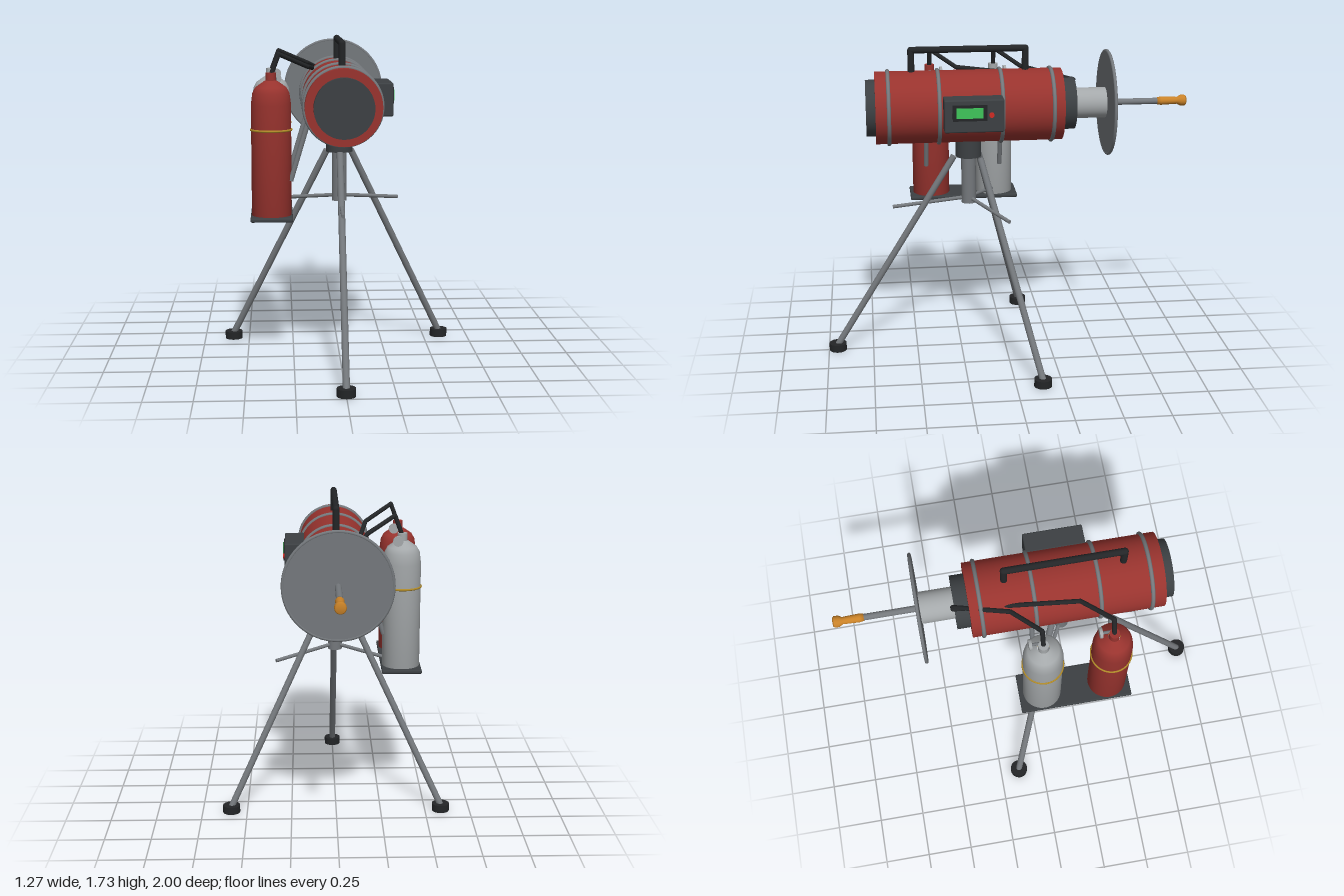
import * as THREE from 'three';
import { RoundedBoxGeometry } from 'three/addons/geometries/RoundedBoxGeometry.js';

const V = (x, y, z) => new THREE.Vector3(x, y, z);
const mat = (color) => new THREE.MeshStandardMaterial({ color });

export function createModel() {
  const root = new THREE.Group();
  const red = mat(0x98332e), dark = mat(0x3c4043), black = mat(0x232527);
  const steel = mat(0x74787c), pale = mat(0xa4a8aa), orange = mat(0xc98228);
  const gold = mat(0xb08a28), green = mat(0x3fc45a), button = mat(0xd02a24);

  const add = (name, geo, material, pos = [0, 0, 0], parent = root) => {
    const m = new THREE.Mesh(geo, material);
    m.name = name;
    m.position.set(...pos);
    parent.add(m);
    return m;
  };
  // Cylinder lying along z, on the barrel axis
  const barrelPart = (name, z0, z1, r, material, rBack = r) => {
    const g = new THREE.CylinderGeometry(r, rBack, z1 - z0, 48).rotateX(Math.PI / 2);
    return add(name, g, material, [0, 1.4, (z0 + z1) / 2]);
  };
  // Cylinder between two points
  const rod = (name, a, b, r, material, parent = root) => {
    const m = add(name, new THREE.CylinderGeometry(r, r, a.distanceTo(b), 16), material, [0, 0, 0], parent);
    m.position.copy(a).lerp(b, 0.5);
    m.quaternion.setFromUnitVectors(V(0, 1, 0), b.clone().sub(a).normalize());
    return m;
  };
  // Bent pipe: straight runs with ball joints
  const pipe = (name, points, r, material) => {
    const g = new THREE.Group();
    g.name = name;
    points.forEach((p, i) => {
      add('pipeJoint', new THREE.SphereGeometry(r, 14, 10), material, p.toArray(), g);
      if (i) rod('pipeRun', points[i - 1], p, r, material, g);
    });
    root.add(g);
  };

  // Barrel
  barrelPart('barrel', -0.305, 0.7, 0.195, red);
  barrelPart('frontCap', 0.69, 0.75, 0.152, dark);
  barrelPart('rearCollar', -0.377, -0.3, 0.14, dark);
  barrelPart('rearSleeve', -0.55, -0.37, 0.083, pale);
  for (const z of [0.63, 0.363, 0.027, -0.247])
    add('barrelBand', new THREE.TorusGeometry(0.196, 0.011, 10, 56), steel, [0, 1.4, z]);

  // Shield disc, probe rod and nozzle
  barrelPart('shieldDisc', -0.567, -0.552, 0.283, steel);
  add('shieldRim', new THREE.TorusGeometry(0.28, 0.009, 10, 64), steel, [0, 1.4, -0.56]);
  barrelPart('probeRod', -0.86, -0.55, 0.017, steel);
  const nozzle = [[0, 0], [0.019, 0], [0.023, 0.02], [0.02, 0.09], [0.019, 0.11], [0.03, 0.13],
    [0.03, 0.152], [0.024, 0.16], [0, 0.16]].map(([x, y]) => new THREE.Vector2(x, y));
  add('nozzle', new THREE.LatheGeometry(nozzle, 24).rotateX(-Math.PI / 2), orange, [0, 1.4, -0.84]);

  // Carrying handle
  pipe('handle', [V(0, 1.57, 0.503), V(0, 1.71, 0.503), V(0, 1.71, -0.11), V(0, 1.57, -0.11)], 0.018, black);

  // Control box
  add('controlBox', new RoundedBoxGeometry(0.11, 0.175, 0.315, 2, 0.008), dark, [0.223, 1.408, 0.188]);
  add('screenFrame', new THREE.BoxGeometry(0.008, 0.085, 0.18), black, [0.28, 1.427, 0.212]);
  add('screen', new THREE.BoxGeometry(0.008, 0.055, 0.14), green, [0.284, 1.427, 0.212]);
  add('button', new THREE.CylinderGeometry(0.014, 0.014, 0.014, 16).rotateZ(Math.PI / 2), button, [0.281, 1.415, 0.098]);

  // Tripod head and centre column
  add('tripodHead', new THREE.CylinderGeometry(0.07, 0.07, 0.12, 32), dark, [0, 1.18, 0.2]);
  add('centreColumn', new THREE.CylinderGeometry(0.04, 0.04, 0.29, 24), steel, [0, 1, 0.2]);

  // Legs, feet and braces
  const legs = [
    [V(0, 1.12, 0.28), V(0, 0.03, 0.95), V(0, 0.84, 0.62)],
    [V(0.065, 1.12, 0.14), V(0.588, 0.03, -0.142), V(0.33, 0.84, 0.01)],
    [V(-0.065, 1.12, 0.14), V(-0.588, 0.03, -0.142), V(-0.33, 0.84, 0.01)],
  ];
  for (const [top, foot, braceEnd] of legs) {
    rod('leg', top, foot, 0.018, steel);
    add('foot', new THREE.CylinderGeometry(0.048, 0.048, 0.042, 24), black, [foot.x, 0.021, foot.z]);
    rod('brace', V(0, 0.885, 0.2), braceEnd, 0.01, steel);
  }

  // Bottle tray and its struts
  add('bottleTray', new RoundedBoxGeometry(0.22, 0.022, 0.61, 2, 0.008), dark, [-0.363, 0.801, 0.205]);
  for (const z of [0.42, 0.003])
    rod('trayStrut', V(-0.16, 1.34, z), V(-0.263, 0.995, z), 0.013, steel);

  // Bottles with band, gauge and hose
  const profile = [[0, 0], [0.104, 0], [0.104, 0.58], [0.096, 0.64], [0.08, 0.67], [0.03, 0.705]]
    .map(([x, y]) => new THREE.Vector2(x, y));
  const bottles = [
    ['red', 0.388, red, V(-0.172, 1.577, 0.25), V(-0.08, 1.515, -0.385)],
    ['grey', 0.028, pale, V(-0.167, 1.577, -0.105), V(-0.07, 1.515, -0.385)],
  ];
  for (const [label, z, material, bend, end] of bottles) {
    const g = new THREE.Group();
    g.name = label + 'Bottle';
    g.position.set(-0.363, 0.81, z);
    root.add(g);
    add('bottleBody', new THREE.LatheGeometry(profile, 40), material, [0, 0, 0], g);
    add('bottleNeck', new THREE.CylinderGeometry(0.027, 0.027, 0.06, 20), material, [0, 0.715, 0], g);
    add('bottleBand', new THREE.TorusGeometry(0.105, 0.006, 8, 48).rotateX(Math.PI / 2), gold, [0, 0.45, 0], g);
    add('gaugeStem', new THREE.CylinderGeometry(0.008, 0.008, 0.07, 10).rotateX(Math.PI / 2), steel, [0.025, 0.71, -0.03], g);
    add('gauge', new THREE.CylinderGeometry(0.028, 0.028, 0.016, 20).rotateX(Math.PI / 2), pale, [0.027, 0.71, -0.063], g);
    pipe(label + 'Hose', [V(-0.363, 1.54, z), V(-0.322, 1.65, z), bend, end], 0.012, black);
  }
  return root;
}
